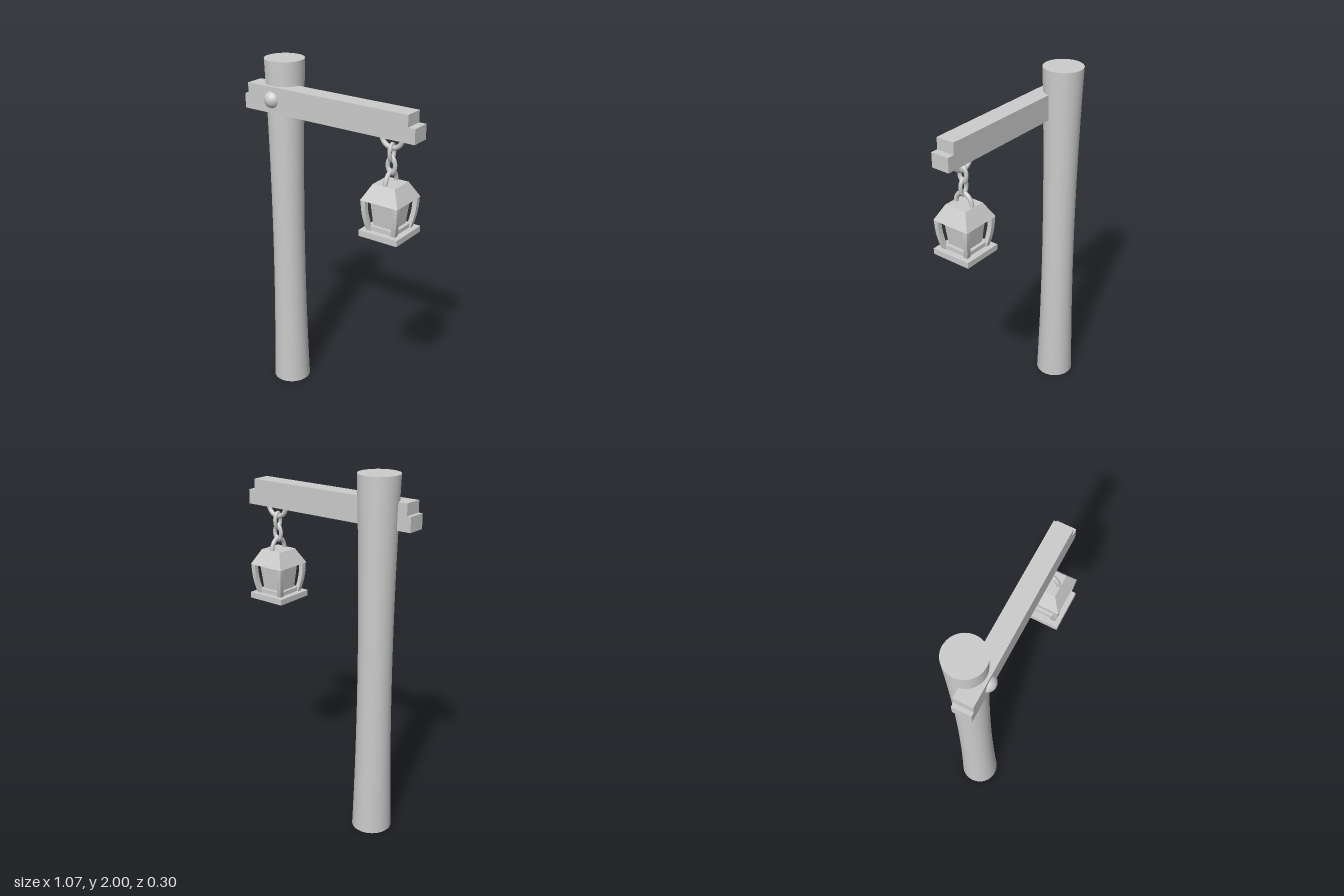
import * as THREE from 'three';

const smooth = new THREE.MeshStandardMaterial({ color: 0xcccccc });
const flat = new THREE.MeshStandardMaterial({ color: 0xcccccc, flatShading: true });

function add(parent, name, geometry, x, y, z, material = flat) {
  const mesh = new THREE.Mesh(geometry, material);
  mesh.name = name;
  mesh.position.set(x, y, z);
  parent.add(mesh);
  return mesh;
}

// Square block that tapers from a bottom half-width to a top half-width
function taperedBlock(bottom, top, height) {
  return new THREE.CylinderGeometry(top * Math.SQRT2, bottom * Math.SQRT2, height, 4).rotateY(Math.PI / 4);
}

// Corner upright whose bowed outline follows the lantern's barrel shape
function uprightGeometry(sx, sz) {
  const height = 0.17, size = 0.026;
  const g = new THREE.BoxGeometry(size, height, size, 1, 6, 1);
  const p = g.attributes.position;
  for (let i = 0; i < p.count; i++) {
    const t = p.getY(i) / height + 0.5;
    const offset = 0.074 + 0.022 * t + 0.024 * t * (1 - t);
    p.setX(i, p.getX(i) + sx * offset);
    p.setZ(i, p.getZ(i) + sz * offset);
  }
  return g;
}

export function createModel() {
  const model = new THREE.Group();
  model.name = 'lanternPost';

  // Round post, slightly waisted at mid-height
  const post = new THREE.CylinderGeometry(1, 1, 2, 48, 20);
  const p = post.attributes.position;
  for (let i = 0; i < p.count; i++) {
    const r = 0.092 + 0.018 * p.getY(i) ** 2;
    p.setX(i, p.getX(i) * r);
    p.setZ(i, p.getZ(i) * r);
  }
  add(model, 'post', post, -0.357, 1, -0.04, smooth);

  // Cross beam with stepped ends, outlined in side elevation
  const outline = new THREE.Shape([
    [-0.537, 1.725], [0.534, 1.725], [0.534, 1.805], [0.493, 1.805],
    [0.493, 1.868], [-0.514, 1.868], [-0.514, 1.805], [-0.537, 1.805],
  ].map(([x, y]) => new THREE.Vector2(x, y)));
  add(model, 'crossBeam', new THREE.ExtrudeGeometry(outline, { depth: 0.105, bevelEnabled: false }), 0, 0, -0.023);

  // Domed peg fixing the beam to the post
  add(model, 'peg', new THREE.SphereGeometry(0.048, 24, 16), -0.357, 1.797, 0.066, smooth);

  // Chain: hook ring in the beam, then two crossed links
  const hanger = new THREE.Group();
  hanger.name = 'hangingLantern';
  hanger.position.set(0.375, 0, 0.031);
  model.add(hanger);
  add(hanger, 'hookRing', new THREE.TorusGeometry(0.062, 0.013, 10, 32), 0, 1.728, 0, smooth);
  [[1.642, Math.PI / 2], [1.573, 0]].forEach(([y, turn], i) => {
    const link = new THREE.TorusGeometry(0.022, 0.011, 10, 24);
    link.scale(1, 1.65, 1).computeVertexNormals();
    add(hanger, 'chainLink' + (i + 1), link, 0, y, 0, smooth).rotation.y = turn;
  });

  // Lantern handle and tapered roof
  const handle = add(hanger, 'handle', new THREE.TorusGeometry(0.052, 0.012, 10, 24, Math.PI), 0, 1.478, 0, smooth);
  handle.rotation.y = Math.PI / 2;
  handle.scale.y = 1.17;
  add(hanger, 'roof', taperedBlock(0.112, 0.066, 0.085), 0, 1.4365, 0);

  // Lantern core and base
  add(hanger, 'glassCore', taperedBlock(0.058, 0.075, 0.17), 0, 1.311, 0);
  add(hanger, 'base', new THREE.BoxGeometry(0.232, 0.033, 0.232), 0, 1.2115, 0);
  add(hanger, 'baseStep', new THREE.BoxGeometry(0.16, 0.024, 0.16), 0, 1.239, 0);

  // Four bowed corner uprights
  for (const sx of [-1, 1]) {
    for (const sz of [-1, 1]) {
      add(hanger, 'cornerUpright', uprightGeometry(sx, sz), 0, 1.311, 0);
    }
  }
  return model;
}
